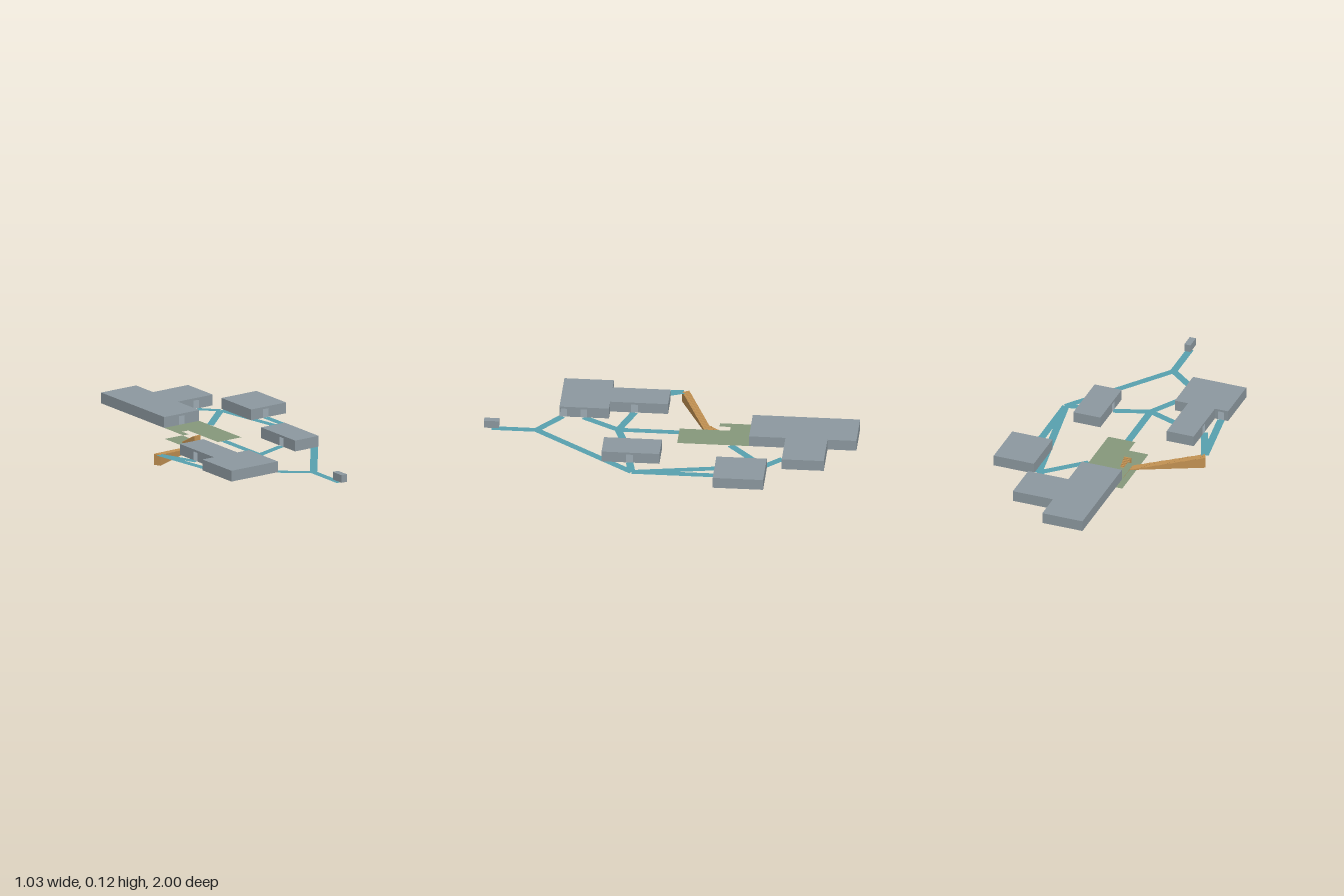
import * as THREE from 'three';
import { mergeGeometries } from 'three/addons/utils/BufferGeometryUtils.js';

const FLOOR = 0.06, ROOF = 0.12, PATH = 0.04;

function material(name, color) {
  const m = new THREE.MeshStandardMaterial({ color, side: THREE.DoubleSide });
  m.name = name;
  return m;
}

// Flat horizontal polygon from [x, z] points
function plate(points, y) {
  const shape = new THREE.Shape(points.map(([x, z]) => new THREE.Vector2(x, -z)));
  return new THREE.ShapeGeometry(shape).rotateX(-Math.PI / 2).translate(0, y, 0);
}

// Place a geometry so its local x runs from a towards b
function along(geometry, a, b, y) {
  const dir = new THREE.Vector3(b[0] - a[0], 0, b[1] - a[1]).normalize();
  const up = new THREE.Vector3(0, 1, 0);
  const m = new THREE.Matrix4().makeBasis(dir, up, dir.clone().cross(up));
  return geometry.applyMatrix4(m.setPosition(a[0], y, a[1]));
}

// Upright wall with doorways notched out of its lower edge
function wall(a, b, doors) {
  const length = Math.hypot(b[0] - a[0], b[1] - a[1]);
  const ux = (b[0] - a[0]) / length, uz = (b[1] - a[1]) / length;
  const cuts = doors
    .map(([x, z]) => [(x - a[0]) * ux + (z - a[1]) * uz, Math.abs((x - a[0]) * uz - (z - a[1]) * ux)])
    .filter(([t, off]) => off < 0.003 && t > 0 && t < length)
    .map(([t]) => t)
    .sort((p, q) => p - q);
  const h = ROOF - FLOOR, half = 0.018, top = 0.048;
  const shape = new THREE.Shape().moveTo(0, 0);
  for (const t of cuts) {
    shape.lineTo(t - half, 0).lineTo(t - half, top).lineTo(t + half, top).lineTo(t + half, 0);
  }
  shape.lineTo(length, 0).lineTo(length, h).lineTo(0, h);
  return along(new THREE.ShapeGeometry(shape), a, b, FLOOR);
}

// Hollow room: floor, roof and walls. Outline runs so that walls face outwards.
function room(outline, doors) {
  const floor = plate(outline, FLOOR);
  // Floor gets a downward twin just below so both sides are shaded properly
  const parts = [floor, plate(outline, ROOF)];
  const pts = outline.slice().reverse();
  pts.forEach((p, i) => parts.push(wall(p, pts[(i + 1) % pts.length], doors)));
  return mergeGeometries(parts);
}

// Solid staircase going down from a to b
function stairs(a, b, steps) {
  const run = Math.hypot(b[0] - a[0], b[1] - a[1]);
  const shape = new THREE.Shape().moveTo(0, 0).lineTo(0, FLOOR);
  for (let i = 1; i <= steps; i++) {
    const u = (run * i) / steps;
    shape.lineTo(u, FLOOR * (1 - (i - 1) / steps));
    shape.lineTo(u, FLOOR * (1 - i / steps));
  }
  const geometry = new THREE.ExtrudeGeometry(shape, { depth: PATH, bevelEnabled: false });
  return along(geometry.translate(0, 0, -PATH / 2), a, b, 0);
}

// Flat strip of walkway from a to b
function corridor(a, b) {
  const length = Math.hypot(b[0] - a[0], b[1] - a[1]);
  const strip = new THREE.PlaneGeometry(length, PATH).rotateX(-Math.PI / 2);
  return along(strip.translate(length / 2, 0, 0), a, b, FLOOR - 0.0005);
}

export function createModel() {
  const model = new THREE.Group();
  model.name = 'floorPlan';
  const grey = material('roomGrey', 0x8c989f);
  const teal = material('corridorTeal', 0x58a0ae);
  const green = material('landingGreen', 0x86987b);
  const orange = material('stairOrange', 0xc29152);
  const add = (name, geometry, mat) => {
    const mesh = new THREE.Mesh(geometry, mat);
    mesh.name = name;
    model.add(mesh);
    return mesh;
  };

  // Rooms
  add('backHall', room(
    [[-0.175, -1], [0.055, -1], [0.055, -0.845], [0.285, -0.845],
      [0.285, -0.62], [0.055, -0.62], [0.055, -0.425], [-0.175, -0.425]],
    [[0.175, -0.62], [-0.06, -0.425]]), grey);
  add('leftRoom', room(
    [[0.285, -0.54], [0.515, -0.54], [0.515, -0.27], [0.285, -0.27]],
    [[0.382, -0.27]]), grey);
  add('middleRoom', room(
    [[0.13, 0.035], [0.285, 0.035], [0.285, 0.345], [0.13, 0.345]],
    [[0.13, 0.22], [0.285, 0.195]]), grey);
  add('frontHall', room(
    [[-0.405, 0.035], [-0.25, 0.035], [-0.25, 0.345], [-0.175, 0.345],
      [-0.175, 0.61], [-0.48, 0.61], [-0.48, 0.345], [-0.405, 0.345]],
    [[-0.405, 0.18], [-0.25, 0.215], [-0.175, 0.48], [-0.175, 0.588], [-0.44, 0.345]]), grey);

  // Entrance block at the end of the front corridor
  const entrance = add('entranceBlock', new THREE.BoxGeometry(0.035, 0.042, 0.08), grey);
  entrance.position.set(-0.02, 0.091, 0.96);

  // Corridors meet at a few junctions
  const stairTop = [-0.495, -0.03], centre = [-0.06, 0.285], side = [0.383, 0.175];
  const back = [0.265, -0.52], front = [-0.02, 0.72];
  const links = [
    [stairTop, [-0.405, 0.19]], [stairTop, [-0.44, 0.345]],
    [centre, [-0.25, 0.215]], [centre, [-0.06, -0.04]], [centre, [-0.175, 0.48]], [centre, [0.13, 0.22]],
    [side, [0.285, 0.195]], [side, [0.382, -0.27]], [side, back], [side, front],
    [back, [0.175, -0.615]], [back, [0.055, -0.325]],
    [front, [-0.175, 0.595]], [front, [-0.02, 0.96]],
  ];
  add('corridors', mergeGeometries(links.map(([a, b]) => corridor(a, b))), teal);

  // Landings: the upper one is cut away around the stairs
  add('upperLanding', plate(
    [[-0.175, -0.425], [0.055, -0.425], [0.055, -0.04], [-0.1, -0.04],
      [-0.1, -0.31], [-0.14, -0.31], [-0.14, -0.25], [-0.175, -0.25]], FLOOR), green);
  add('lowerLanding', plate(
    [[-0.175, -0.42], [-0.06, -0.42], [-0.06, -0.04], [-0.175, -0.04]], 0), green);

  // Stairs
  add('longStairs', stairs([-0.5, -0.038], [-0.13, -0.21], 30), orange);
  add('shortStairs', stairs([-0.12, -0.2], [-0.12, -0.31], 12), orange);
  return model;
}
